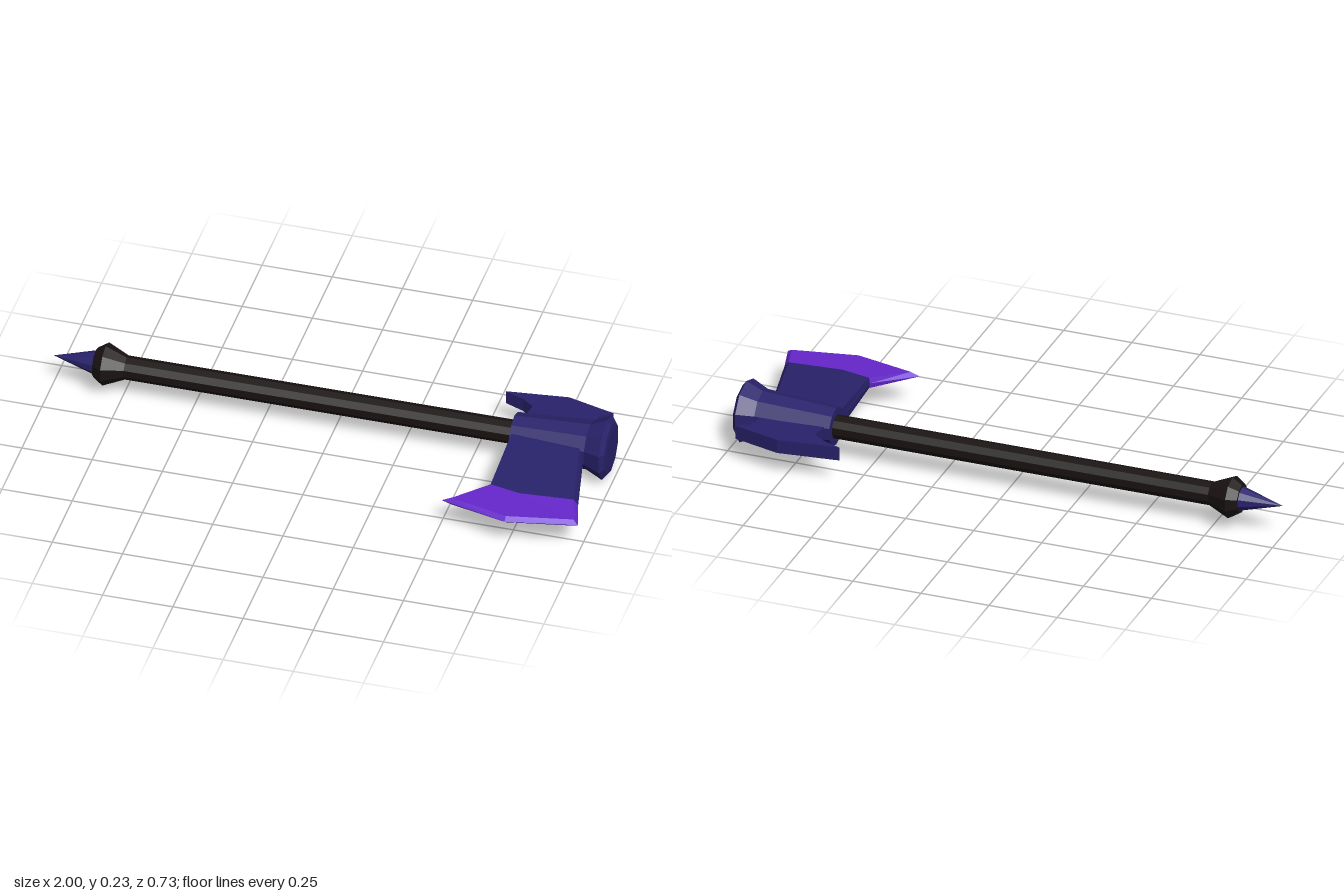
import * as THREE from 'three';

const AXIS_Y = 0.115, AXIS_Z = -0.15, SIDES = 10;

const paint = (color) => new THREE.MeshStandardMaterial({ color, flatShading: true, side: THREE.DoubleSide });

// Faceted solid of revolution along x, from [x, radius] pairs
function turned(profile) {
  const points = profile.map(([x, r]) => new THREE.Vector2(r, x));
  const geo = new THREE.LatheGeometry(points, SIDES, Math.PI / 2);
  geo.rotateZ(-Math.PI / 2);
  return geo.translate(0, AXIS_Y, AXIS_Z);
}

// Blade cross-section: ridge, left, middle, right, ridge as [x, z], with half thickness h
function section(pts, h) {
  const at = ([x, z], y) => [x, AXIS_Y + y, z];
  const [ridgeL, l, m, r, ridgeR] = pts;
  return [at(ridgeL, 0), at(l, h), at(m, h), at(r, h), at(ridgeR, 0), at(r, -h), at(m, -h), at(l, -h)];
}

// Skin over consecutive cross-sections
function loft(rings) {
  const n = rings[0].length, index = [];
  for (let i = 0; i < rings.length - 1; i++) {
    for (let j = 0; j < n; j++) {
      const a = i * n + j, b = i * n + (j + 1) % n;
      index.push(a, a + n, b + n, a, b + n, b);
    }
  }
  const geo = new THREE.BufferGeometry();
  geo.setAttribute('position', new THREE.Float32BufferAttribute(rings.flat(2), 3));
  geo.setIndex(index);
  geo.computeVertexNormals();
  return geo;
}

export function createModel() {
  const group = new THREE.Group();
  const dark = paint(0x1a1212), navy = paint(0x29226b), purple = paint(0x6626cc);
  const add = (name, geo, mat) => {
    const mesh = new THREE.Mesh(geo, mat);
    mesh.name = name;
    group.add(mesh);
  };

  // Shaft with its flared pommel
  add('handle', turned([[-0.76, 0.042], [0.66, 0.042]]), dark);
  add('pommel', turned([[-0.85, 0], [-0.85, 0.052], [-0.815, 0.075], [-0.74, 0.042]]), dark);
  add('pommelSpike', turned([[-1, 0], [-0.845, 0.044]]), navy);

  // Flared socket holding the head
  add('socket', turned([[0.64, 0], [0.64, 0.07], [0.91, 0.086], [0.97, 0.113],
    [0.984, 0.094], [0.987, 0.07], [0.987, 0]]), navy);

  // Main blade and cutting edge, sharing the joint section
  const root = section([[0.643, -0.11], [0.645, -0.11], [0.77, -0.11], [0.885, -0.11], [0.9, -0.11]], 0.035);
  const joint = section([[0.648, 0.19], [0.652, 0.192], [0.76, 0.215], [0.95, 0.2], [0.966, 0.2]], 0.02);
  const rim = section([[0.508, 0.3], [0.54, 0.297], [0.75, 0.347], [0.978, 0.303], [0.997, 0.314]], 0.013);
  const tip = section([[0.508, 0.3], [0.508, 0.3], [0.75, 0.363], [0.997, 0.314], [0.997, 0.314]], 0);
  add('blade', loft([root, joint]), navy);
  add('cuttingEdge', loft([joint, rim, tip]), purple);

  // Flared rear blade, a flat plate
  const outline = [[0.66, -0.17], [0.893, -0.17], [0.893, -0.245], [0.905, -0.288], [0.946, -0.315],
    [0.775, -0.363], [0.556, -0.338], [0.625, -0.31], [0.668, -0.278], [0.66, -0.23]];
  const shape = new THREE.Shape(outline.map(([x, z]) => new THREE.Vector2(x, z)));
  const rear = new THREE.ExtrudeGeometry(shape, { depth: 0.05, bevelEnabled: false });
  rear.rotateX(Math.PI / 2).translate(0, AXIS_Y + 0.025, 0);
  add('rearBlade', rear, navy);

  return group;
}
